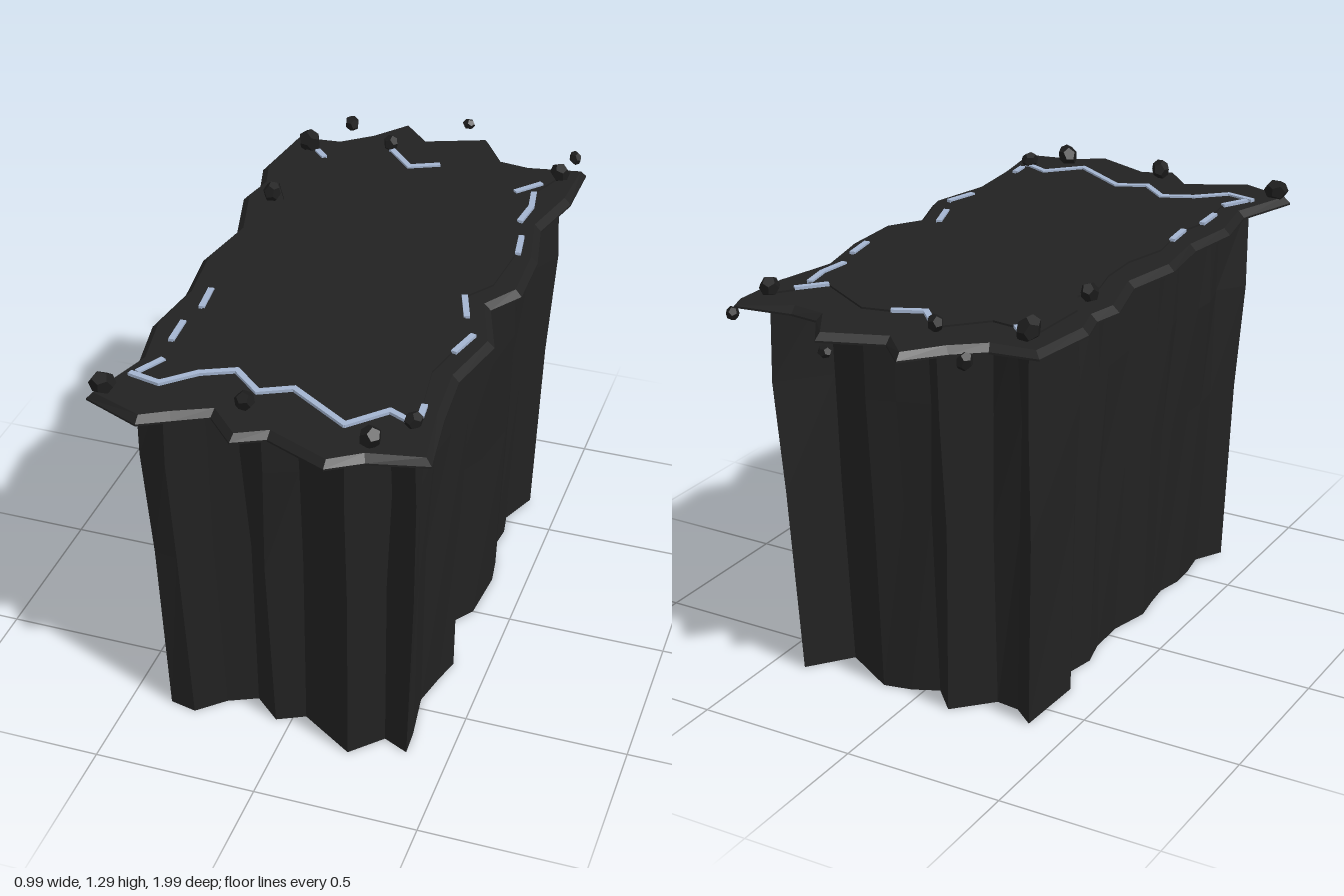
import * as THREE from 'three';

// Outlines as [x, z], running front -> +x side -> back -> -x side
const inner = [
  [-0.41, 0.77], [-0.32, 0.79], [-0.235, 0.71], [-0.14, 0.665], [-0.05, 0.745], [0.04, 0.70],
  [0.225, 0.82], [0.32, 0.72], [0.405, 0.76], [0.40, 0.67], [0.375, 0.5], [0.40, 0.385],
  [0.425, 0.29], [0.38, 0.195], [0.345, 0.095], [0.41, 0], [0.425, -0.195], [0.41, -0.29],
  [0.38, -0.385], [0.39, -0.48], [0.375, -0.565], [0.43, -0.70], [0.32, -0.56], [0.135, -0.67],
  [0.04, -0.65], [-0.045, -0.61], [-0.13, -0.70], [-0.245, -0.58], [-0.325, -0.59], [-0.40, -0.65],
  [-0.41, -0.39], [-0.355, -0.29], [-0.375, -0.19], [-0.35, -0.09], [-0.345, 0.05], [-0.38, 0.195],
  [-0.365, 0.29], [-0.355, 0.385], [-0.375, 0.48], [-0.37, 0.575], [-0.355, 0.67],
];
const outer = [
  [-0.495, 0.885], [-0.32, 0.96], [-0.235, 0.915], [-0.14, 0.865], [-0.05, 0.96], [0.04, 0.915],
  [0.225, 0.995], [0.32, 0.935], [0.49, 0.895], [0.46, 0.68], [0.445, 0.49], [0.49, 0.29],
  [0.425, 0.1], [0.49, 0], [0.485, -0.2], [0.445, -0.39], [0.49, -0.58], [0.49, -0.78],
  [0.31, -0.755], [0.22, -0.765], [0.135, -0.895], [-0.05, -0.825], [-0.14, -0.915],
  [-0.235, -0.805], [-0.32, -0.735], [-0.465, -0.715], [-0.495, -0.49], [-0.465, -0.385],
  [-0.485, -0.29], [-0.43, -0.09], [-0.465, 0.1], [-0.44, 0.3], [-0.465, 0.49], [-0.43, 0.67],
];

// Closed solid through a stack of rings of [x, y, z], faceted, with end caps
function loft(rings) {
  const pos = [];
  const tri = (a, b, c) => pos.push(...a, ...b, ...c);
  const n = rings[0].length;
  for (let r = 0; r < rings.length - 1; r++) {
    for (let i = 0; i < n; i++) {
      const j = (i + 1) % n, lo = rings[r], up = rings[r + 1];
      tri(lo[i], lo[j], up[j]);
      tri(lo[i], up[j], up[i]);
    }
  }
  const cap = (ring, flip) => {
    const flat = ring.map(([x, , z]) => new THREE.Vector2(x, -z));
    for (const [a, b, c] of THREE.ShapeUtils.triangulateShape(flat, [])) {
      flip ? tri(ring[a], ring[c], ring[b]) : tri(ring[a], ring[b], ring[c]);
    }
  };
  cap(rings[0], true);
  cap(rings[rings.length - 1], false);
  const g = new THREE.BufferGeometry();
  g.setAttribute('position', new THREE.Float32BufferAttribute(pos, 3));
  g.computeVertexNormals();
  return g;
}

// Moves every outline point inwards along its corner bisector
function inset(pts, d) {
  const n = pts.length;
  return pts.map(([x, z], i) => {
    const a = pts[(i + n - 1) % n], b = pts[(i + 1) % n];
    const tx = b[0] - a[0], tz = b[1] - a[1], l = Math.hypot(tx, tz);
    return [x + (tz / l) * d, z - (tx / l) * d];
  });
}

export function createModel() {
  const model = new THREE.Group();
  const rock = new THREE.MeshStandardMaterial({ color: 0x222222 });
  rock.name = 'dark rock';
  const rubble = new THREE.MeshStandardMaterial({ color: 0x1c1c1c });
  rubble.name = 'black rubble';
  const glint = new THREE.MeshStandardMaterial({ color: 0xa3b4d0 });
  glint.name = 'pale blue edge';
  const add = (name, geometry, material, parent = model) => {
    const m = new THREE.Mesh(geometry, material);
    m.name = name;
    parent.add(m);
    return m;
  };

  // Ribbed shaft, tapering gently to the foot with slightly wandering ribs
  const rows = [[0, 0.92, 0.92, 0], [0.6, 0.965, 0.955, 0.008], [0.95, 0.995, 0.98, 0.008], [1.232, 0.985, 0.995, 0]];
  add('shaft', loft(rows.map(([y, sx, sz, w], r) => inner.map(([x, z], i) =>
    [x * sx + w * Math.sin(i * 2.3 + r * 1.7), y, z * sz + w * Math.cos(i * 3.1 + r)]))), rock);

  // Jagged overhanging rim with a bevelled edge
  const ring = (pts, y) => pts.map(([x, z]) => [x, y, z]);
  add('rim', loft([ring(outer, 1.2), ring(outer, 1.206), ring(inset(outer, 0.02), 1.226)]), rock);

  // Pale strips along parts of the inner edge, as runs of outline indices
  const strips = new THREE.Group();
  strips.name = 'edgeHighlights';
  model.add(strips);
  const strip = (a, b) => {
    const dx = b[0] - a[0], dz = b[1] - a[1];
    const m = add('edgeStrip', new THREE.BoxGeometry(Math.hypot(dx, dz) + 0.01, 0.009, 0.018), glint, strips);
    m.position.set((a[0] + b[0]) / 2, 1.2335, (a[1] + b[1]) / 2);
    m.rotation.y = -Math.atan2(dz, dx);
  };
  for (const [from, to] of [[0, 8], [11, 12], [13, 14], [16, 17], [18, 20], [24, 26], [36, 37], [38, 39]]) {
    for (let i = from; i < to; i++) strip(inner[i], inner[i + 1]);
  }
  strip([0.405, 0.72], [0.40, 0.67]);
  strip([0.38, -0.63], [0.32, -0.56]);
  strip([-0.355, -0.62], [-0.325, -0.59]);
  strip([-0.395, 0.755], [-0.355, 0.68]);

  // Rubble lying on the rim, and chips hanging off the back: x, y, z, radius
  const stones = new THREE.Group();
  stones.name = 'rubble';
  model.add(stones);
  [
    [-0.455, 1.25, 0.86, 0.04], [-0.39, 1.255, -0.64, 0.042], [-0.39, 1.25, -0.29, 0.033],
    [-0.05, 1.265, 0.84, 0.034], [0.315, 1.25, 0.875, 0.037], [0.40, 1.25, 0.765, 0.03],
    [0.425, 1.25, -0.695, 0.036], [-0.14, 1.25, -0.715, 0.028],
    [-0.32, 1.222, -0.86, 0.028], [0.045, 1.22, -0.98, 0.021], [0.435, 1.22, -0.86, 0.023],
  ].forEach(([x, y, z, r], i) => {
    const g = new THREE.DodecahedronGeometry(r, 0);
    g.scale(1, 0.85, 0.85);
    const m = add('stone', g, rubble, stones);
    m.position.set(x, y, z);
    m.rotation.set(i * 1.3, i * 2.1, i * 0.7);
  });

  return model;
}
